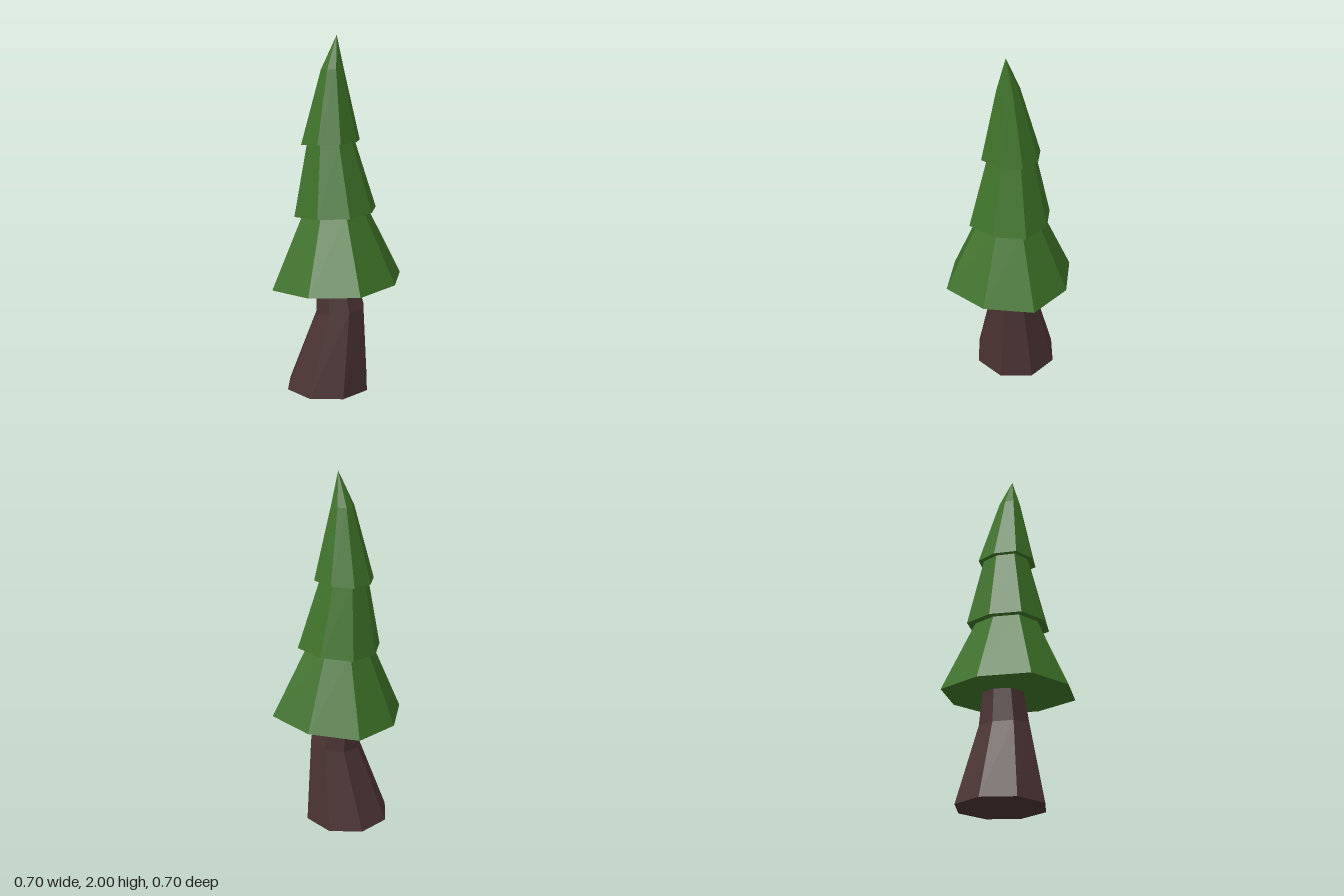
import * as THREE from 'three';

const SIDES = 8;

// One octagonal ring: centre (x, y, z), radius r, slope of y along x and z,
// a small twist, and a factor that pushes the diagonal corners outward.
function ringPoints({ x, y, z, r, tiltX = 0, tiltZ = 0 }, twist, diagonal) {
  return Array.from({ length: SIDES }, (_, i) => {
    const a = (i / SIDES) * Math.PI * 2 + twist;
    const rad = i % 2 ? r * diagonal : r;
    const dx = Math.cos(a) * rad, dz = Math.sin(a) * rad;
    return [x + dx, y + tiltX * dx + tiltZ * dz, z + dz];
  });
}

// Closed faceted solid through a stack of rings, listed from bottom to top.
function loft(rings, twist, diagonal) {
  const rows = rings.map((ring) => ringPoints(ring, twist, diagonal));
  const pos = [];
  const tri = (a, b, c) => pos.push(...a, ...b, ...c);
  const last = rings.length - 1;
  const centre = (ring) => [ring.x, ring.y, ring.z];
  for (let i = 0; i < SIDES; i++) {
    const j = (i + 1) % SIDES;
    for (let k = 0; k < last; k++) {
      const lo = rows[k], hi = rows[k + 1];
      tri(lo[i], hi[i], lo[j]);
      if (rings[k + 1].r > 0) tri(lo[j], hi[i], hi[j]);
    }
    tri(centre(rings[0]), rows[0][i], rows[0][j]);
    if (rings[last].r > 0) tri(centre(rings[last]), rows[last][j], rows[last][i]);
  }
  const geo = new THREE.BufferGeometry();
  geo.setAttribute('position', new THREE.Float32BufferAttribute(pos, 3));
  geo.computeVertexNormals();
  return geo;
}

export function createModel() {
  const group = new THREE.Group();
  group.name = 'pineTree';

  const bark = new THREE.MeshStandardMaterial({ color: 0x4a3232, flatShading: true });
  bark.name = 'barkBrown';
  const needles = new THREE.MeshStandardMaterial({ color: 0x3d7127, flatShading: true });
  needles.name = 'needleGreen';

  const add = (name, material, rings, twist = 0.04, diagonal = 1.08) => {
    const mesh = new THREE.Mesh(loft(rings, twist, diagonal), material);
    mesh.name = name;
    group.add(mesh);
  };

  // Crooked trunk, its top hidden inside the lowest tier
  add('trunk', bark, [
    { x: -0.067, y: 0, z: -0.015, r: 0.245 },
    { x: 0.003, y: 0.465, z: -0.03, r: 0.144, tiltX: 0.15 },
    { x: -0.022, y: 0.66, z: -0.025, r: 0.116, tiltX: 0.06 },
  ], 0, 1);

  // Three leaning foliage tiers, each starting outside the one below
  add('lowerTier', needles, [
    { x: 0, y: 0.635, z: 0, r: 0.352, tiltX: 0.057, tiltZ: -0.015 },
    { x: -0.013, y: 1.045, z: 0.002, r: 0.173, tiltX: 0.06, tiltZ: -0.02 },
  ]);
  add('middleTier', needles, [
    { x: -0.011, y: 1.034, z: 0, r: 0.221, tiltX: 0.06, tiltZ: -0.02 },
    { x: -0.038, y: 1.43, z: 0.004, r: 0.126, tiltX: 0.06 },
  ]);
  add('upperTier', needles, [
    { x: -0.038, y: 1.422, z: 0.005, r: 0.157, tiltX: 0.06 },
    { x: -0.023, y: 1.82, z: 0.016, r: 0.06, tiltX: 0.06 },
    { x: 0.004, y: 2, z: 0.018, r: 0 },
  ]);

  return group;
}
